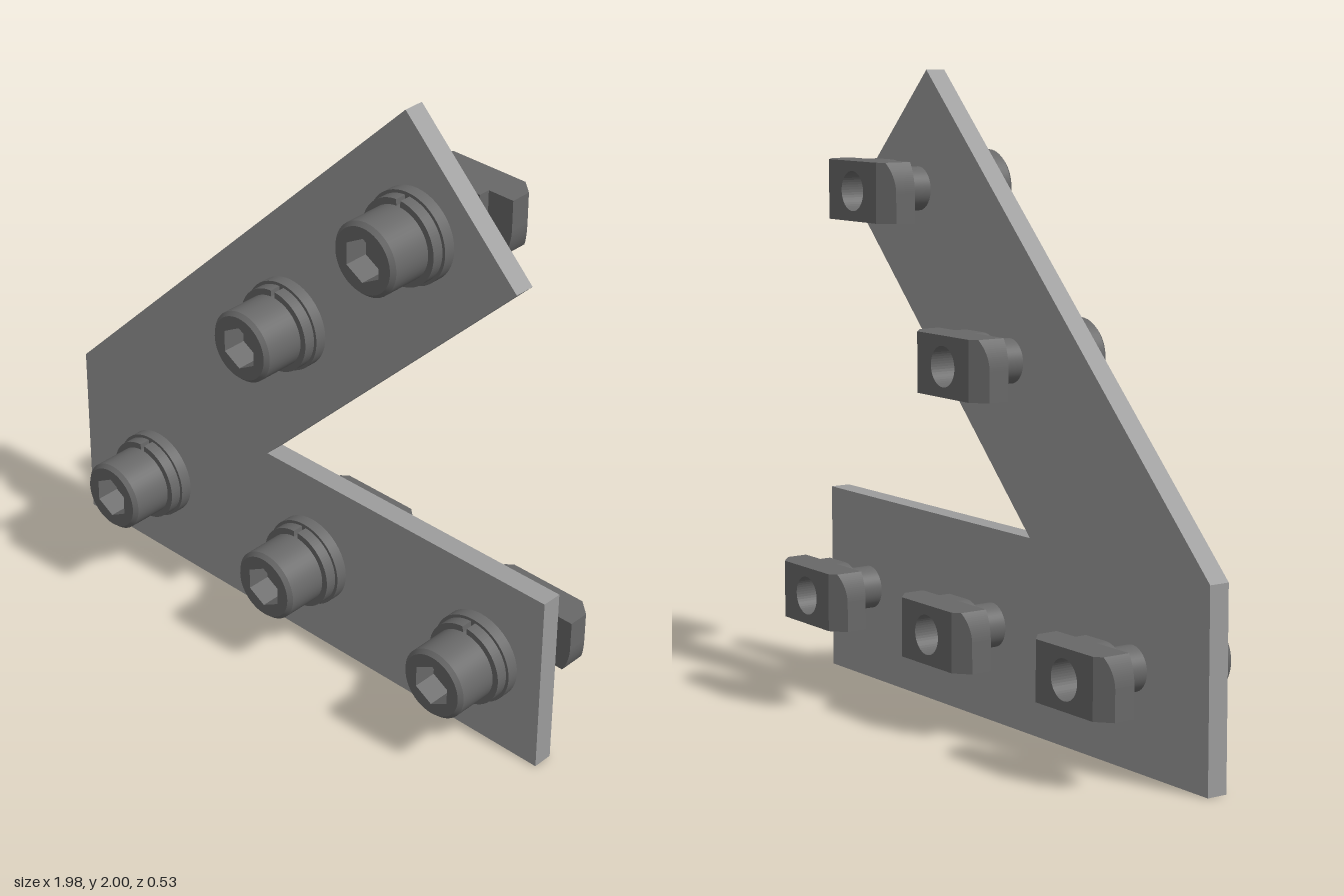
import * as THREE from 'three';

const plateMat = new THREE.MeshStandardMaterial({ color: 0x9c9c9c });
plateMat.name = 'plate grey';
const steelMat = new THREE.MeshStandardMaterial({ color: 0x686868 });
steelMat.name = 'dark steel';

const PLATE_BACK = -0.02, PLATE_FRONT = 0.047;

// Extrusion of a shape between two z levels
function slab(shape, z0, z1, segments = 32) {
  const g = new THREE.ExtrudeGeometry(shape, { depth: z1 - z0, bevelEnabled: false, curveSegments: segments });
  return g.translate(0, 0, z0);
}

// Round part along z, r0 at z0 and r1 at z1
function round(r0, r1, z0, z1, open = false) {
  return new THREE.CylinderGeometry(r1, r0, z1 - z0, 48, 1, open)
    .rotateX(Math.PI / 2).translate(0, 0, (z0 + z1) / 2);
}

function add(group, name, geometry, material = steelMat) {
  const m = new THREE.Mesh(geometry, material);
  m.name = name;
  group.add(m);
  return m;
}

function polygon(points) {
  return new THREE.Shape(points.map(([x, y]) => new THREE.Vector2(x, y)));
}

// Hexagon with corners up and down
function hexPoints(r) {
  return Array.from({ length: 6 }, (_, i) => {
    const a = Math.PI / 2 + i * Math.PI / 3;
    return [r * Math.cos(a), r * Math.sin(a)];
  });
}

function buildScrew() {
  const g = new THREE.Group();
  g.name = 'capScrew';
  add(g, 'flatWasher', round(0.145, 0.145, PLATE_FRONT, 0.085));

  // Spring washer, split at the top
  const ring = new THREE.Shape();
  const gap = 0.06, start = Math.PI / 2 + gap, end = Math.PI * 2.5 - gap;
  ring.absarc(0, 0, 0.135, start, end, false);
  ring.absarc(0, 0, 0.105, end, start, true);
  add(g, 'springWasher', slab(ring, 0.085, 0.122, 48));

  // Head with chamfered rim and hexagonal socket
  add(g, 'headSide', round(0.115, 0.115, 0.085, 0.252, true));
  add(g, 'headChamfer', round(0.115, 0.103, 0.252, 0.265, true));
  const top = new THREE.Shape();
  top.absarc(0, 0, 0.103, 0, Math.PI * 2, false);
  top.holes.push(new THREE.Path(polygon(hexPoints(0.07)).getPoints()));
  add(g, 'headSocket', slab(top, 0.185, 0.265, 24));
  add(g, 'socketFloor', new THREE.CircleGeometry(0.08, 24).translate(0, 0, 0.186));

  add(g, 'shank', round(0.069, 0.069, -0.13, PLATE_BACK));
  return g;
}

function buildNut() {
  const g = new THREE.Group();
  g.name = 'slotNut';
  const H = 0.093, W = 0.183, C = 0.135;
  const back = -0.265, mid = -0.155, chamfer = 0.042;

  // Neck with two opposite rounded corners
  const neck = new THREE.Shape();
  neck.moveTo(H, 0);
  neck.lineTo(H, H);
  neck.lineTo(0, H);
  neck.absarc(0, 0, H, Math.PI / 2, Math.PI, false);
  neck.lineTo(-H, -H);
  neck.lineTo(0, -H);
  neck.absarc(0, 0, H, -Math.PI / 2, 0, false);
  add(g, 'nutNeck', slab(neck, mid, -0.117, 12));

  // Middle block with the threaded hole
  const block = polygon([[-C, -H], [C, -H], [C, H], [-C, H]]);
  const hole = new THREE.Path();
  hole.absarc(0, 0, 0.062, 0, Math.PI * 2, true);
  block.holes.push(hole);
  add(g, 'nutBody', slab(block, back, mid, 24));
  add(g, 'holeFloor', round(0.065, 0.065, mid - 0.005, mid));

  // Chamfered ends, lower corner rounded; the other end is half a turn round
  const tip = new THREE.Shape();
  tip.moveTo(C, H);
  tip.lineTo(C, -H);
  tip.absarc(0, 0, W, -Math.asin(H / W), 0, false);
  tip.lineTo(W, H);
  const tipGeo = slab(tip, back, mid, 8);
  const p = tipGeo.attributes.position;
  for (let i = 0; i < p.count; i++) {
    if (p.getZ(i) < back + 0.001) p.setZ(i, back + chamfer * (p.getX(i) - C) / (W - C));
  }
  tipGeo.computeVertexNormals();
  add(g, 'nutEnd', tipGeo);
  add(g, 'nutEnd', tipGeo).rotation.z = Math.PI;
  return g;
}

export function createModel() {
  const model = new THREE.Group();
  model.name = 'angledJoiningPlate';

  // Flat plate with a foot and a 45 degree arm
  const outline = polygon([
    [-0.988, 0], [0.988, 0], [0.988, 0.607], [-0.14, 0.607],
    [0.832, 1.58], [0.41, 2], [-0.988, 0.607],
  ]);
  add(model, 'plate', slab(outline, PLATE_BACK, PLATE_FRONT), plateMat);

  // Five fasteners, all upright
  const spots = [[-0.642, 0.305], [0.056, 0.305], [0.754, 0.305], [-0.036, 1.135], [0.457, 1.63]];
  for (const [x, y] of spots) {
    const fastener = new THREE.Group();
    fastener.name = 'fastener';
    fastener.add(buildScrew(), buildNut());
    fastener.position.set(x, y, 0);
    model.add(fastener);
  }
  return model;
}
